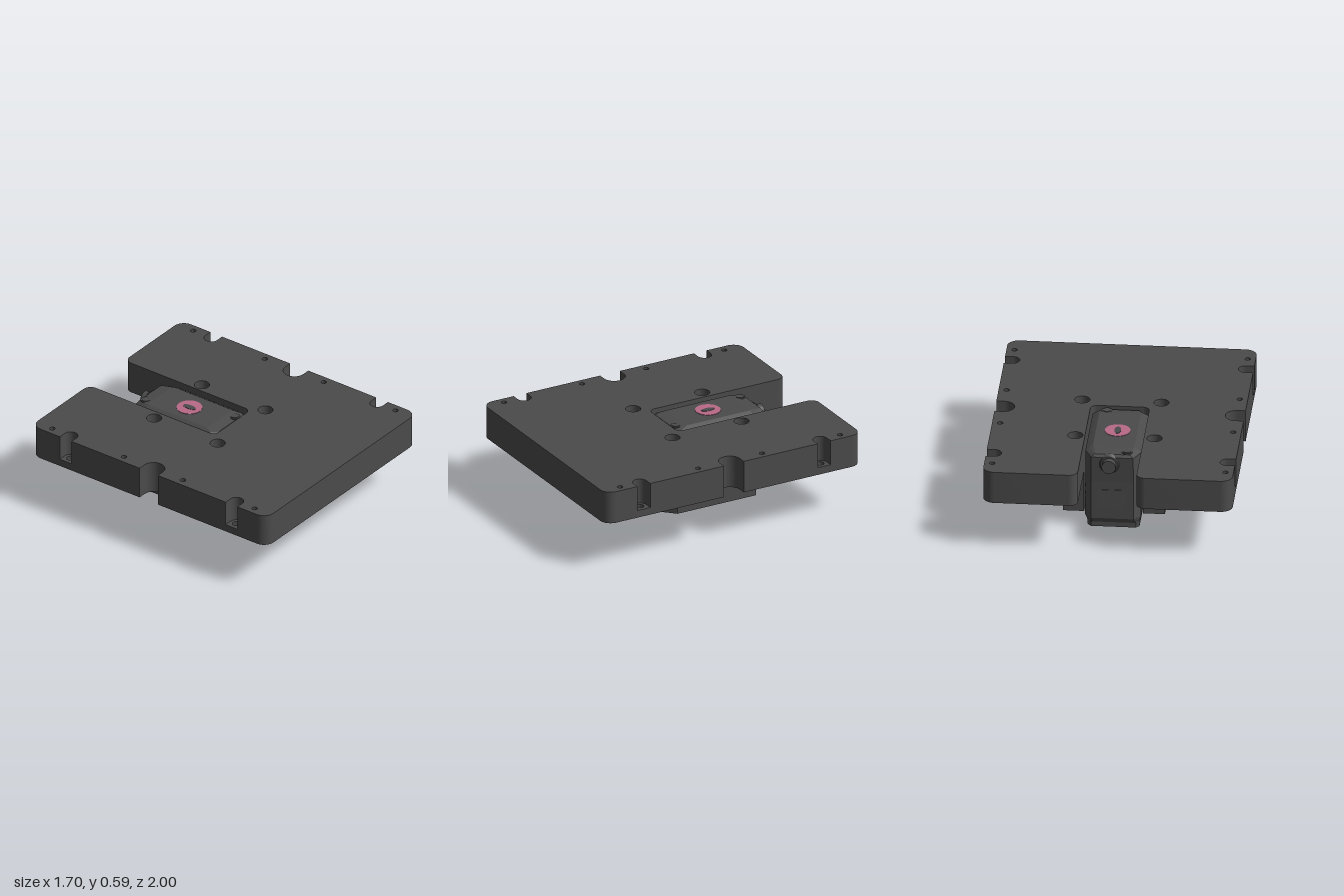
import * as THREE from 'three';
import { toCreasedNormals } from 'three/addons/utils/BufferGeometryUtils.js';

const mat = (name, color) => {
  const m = new THREE.MeshStandardMaterial({ color });
  m.name = name;
  return m;
};

// Extrudes a plan shape (x, -z) upward from y0 to y1
function slab(shape, y0, y1) {
  const g = new THREE.ExtrudeGeometry(shape, { depth: y1 - y0, bevelEnabled: false, curveSegments: 16 });
  g.rotateX(-Math.PI / 2).translate(0, y0, 0);
  return toCreasedNormals(g, 0.6);
}

function hole(shape, x, z, r) {
  shape.holes.push(new THREE.Path().absarc(x, -z, r, 0, Math.PI * 2, true));
}

// Plate outline with a rear slot; notches are [z, radius] cut into both long sides
function plateShape(notches) {
  const W = 0.85, xc = 0.795, R = 0.08, q = Math.PI / 2, s = new THREE.Shape();
  s.moveTo(-W + R, -1);
  s.absarc(W - R, -1 + R, R, -q, 0, false);
  for (const [z, r] of notches) {
    s.lineTo(W, -z - r);
    s.absarc(xc, -z, r, -q, q, true);
    s.lineTo(W, -z + r);
  }
  s.absarc(W - R, 1 - R, R, 0, q, false);
  s.absarc(0.204 + 0.06, 0.94, 0.06, q, 2 * q, false);
  s.absarc(0.204 - 0.045, -0.025, 0.045, 0, -q, true);
  s.absarc(-0.197 + 0.045, -0.025, 0.045, -q, -2 * q, true);
  s.absarc(-0.197 - 0.06, 0.94, 0.06, 0, q, false);
  s.absarc(-W + R, 1 - R, R, q, 2 * q, false);
  for (const [z, r] of [...notches].reverse()) {
    s.lineTo(-W, -z + r);
    s.absarc(-xc, -z, r, q, -q, true);
    s.lineTo(-W, -z - r);
  }
  s.absarc(-W + R, -1 + R, R, 2 * q, 3 * q, false);
  for (const x of [-xc, xc]) for (const z of [-0.861, -0.251, 0.249, 0.859]) hole(s, x, z, 0.019);
  return s;
}

// Rectangle ring with cut corners: cx wide and cz deep at the rear, cx square at the front
function ring(y, x0, x1, z0, z1, cx, cz) {
  return [[x1, z0 + cz], [x1, z1 - cx], [x1 - cx, z1], [x0 + cx, z1],
    [x0, z1 - cx], [x0, z0 + cz], [x0 + cx, z0], [x1 - cx, z0]].map(([x, z]) => [x, y, z]);
}

// Joins rings from bottom to top and caps both ends
function loft(rings) {
  const p = [], n = rings[0].length;
  for (let k = 0; k < rings.length - 1; k++) {
    const a = rings[k], b = rings[k + 1];
    for (let i = 0; i < n; i++) {
      const j = (i + 1) % n;
      p.push(...a[j], ...a[i], ...b[i], ...a[j], ...b[i], ...b[j]);
    }
  }
  const lo = rings[0], hi = rings[rings.length - 1];
  for (let i = 1; i < n - 1; i++) {
    p.push(...lo[0], ...lo[i], ...lo[i + 1]);
    p.push(...hi[0], ...hi[i + 1], ...hi[i]);
  }
  const g = new THREE.BufferGeometry();
  g.setAttribute('position', new THREE.Float32BufferAttribute(p, 3));
  g.computeVertexNormals();
  return g;
}

export function createModel() {
  const root = new THREE.Group();
  const grey = mat('dark grey', 0x4b4b4b);
  const light = mat('light grey', 0xa9a9a9);
  const pink = mat('dusty pink', 0xb86a86);

  const add = (name, geo, m, x = 0, y = 0, z = 0) => {
    const mesh = new THREE.Mesh(geo, m);
    mesh.name = name;
    mesh.position.set(x, y, z);
    root.add(mesh);
    return mesh;
  };
  const disc = (r, h, r2 = r) => new THREE.CylinderGeometry(r, r2, h, 32);
  const box = (w, h, d) => new THREE.BoxGeometry(w, h, d);

  // Mounting plate: lower layer with through holes, upper layer with counterbores
  const lower = plateShape([[0, 0.077]]);
  for (const x of [-0.795, 0.795]) for (const z of [0.704, -0.706]) hole(lower, x, z, 0.027);
  add('plateLower', slab(lower, 0.355, 0.408), grey);
  const upper = plateShape([[0.704, 0.05], [0, 0.077], [-0.706, 0.05]]);
  for (const x of [-0.27, 0.27]) for (const z of [-0.39, 0.15]) {
    hole(upper, x, z, 0.052);
    add('plateScrew', disc(0.044, 0.06), grey, x, 0.435, z);
    add('plateScrewSocket', disc(0.022, 0.004), grey, x, 0.467, z);
  }
  add('plateUpper', slab(upper, 0.408, 0.587), grey);

  // U-shaped bracket under the plate with chamfered front corners
  const u = new THREE.Shape([[-0.347, 0.46], [-0.347, -0.155], [-0.27, -0.23], [0.27, -0.23],
    [0.347, -0.155], [0.347, 0.46], [0.204, 0.46], [0.204, -0.07], [-0.197, -0.07], [-0.197, 0.46]]
    .map(([x, y]) => new THREE.Vector2(x, y)));
  add('bracket', slab(u, 0.048, 0.355), grey);
  for (const y of [0.098, 0.332]) {
    add('bracketScrewRim', new THREE.TorusGeometry(0.033, 0.002, 6, 32), grey, 0, y, 0.23);
    add('bracketScrewSocket', disc(0.016, 0.004), grey, 0, y, 0.229).rotation.x = Math.PI / 2;
  }

  // Device body held in the slot
  add('deviceBody', loft([
    ring(0.04, -0.18, 0.17, -0.595, 0.035, 0.03, 0.03),
    ring(0.08, -0.193, 0.188, -0.622, 0.06, 0.045, 0.06),
    ring(0.36, -0.193, 0.188, -0.626, 0.065, 0.045, 0.08),
    ring(0.55, -0.193, 0.188, -0.638, 0.067, 0.048, 0.1),
    ring(0.57, -0.165, 0.158, -0.625, 0.05, 0.04, 0.09),
    ring(0.582, -0.145, 0.138, -0.54, -0.03, 0.01, 0.01),
  ]), grey);
  add('deviceBase', loft([
    ring(0.002, -0.183, 0.17, -0.588, 0.03, 0.025, 0.025),
    ring(0.05, -0.187, 0.174, -0.588, 0.03, 0.025, 0.025),
  ]), grey);
  add('basePanel', loft([
    ring(0, -0.172, 0.159, -0.577, 0.019, 0.025, 0.025),
    ring(0.004, -0.172, 0.159, -0.577, 0.019, 0.025, 0.025),
  ]), light);

  // Round badge with a plain slot
  add('badge', disc(0.088, 0.006), pink, -0.01, 0.582, -0.286);
  const slot = disc(0.023, 0.004);
  slot.scale(1, 1, 2.2);
  add('badgeSlot', slot, grey, -0.01, 0.585, -0.286);

  // Device top screws
  for (const [x, z] of [[-0.1, -0.587], [0.09, 0.022]]) {
    add('deviceScrewRim', disc(0.037, 0.04), grey, x, 0.558, z);
    add('deviceScrew', disc(0.028, 0.04), grey, x, 0.562, z);
  }

  // Rear connector with a collar
  add('connectorCollar', disc(0.075, 0.02, 0.06), grey, 0.017, 0.5, -0.635).rotation.x = Math.PI / 2;
  add('connector', disc(0.048, 0.1), grey, 0.017, 0.5, -0.639).rotation.x = Math.PI / 2;

  // Rear rib, side grilles and vents along the bottom edge
  add('rearRib', box(0.2, 0.15, 0.006), grey, 0, 0.225, -0.626);
  for (const x of [-0.191, 0.186]) {
    add('grilleBar', box(0.008, 0.135, 0.015), grey, x, 0.232, -0.5);
    for (const y of [0.172, 0.232, 0.292]) add('grilleTooth', box(0.008, 0.014, 0.05), grey, x, y, -0.525);
  }
  for (const x of [-0.183, 0.172]) for (let i = 0; i < 9; i++) {
    add('vent', box(0.006, 0.016, 0.022), grey, x, 0.04, -0.12 - i * 0.04);
  }
  return root;
}
